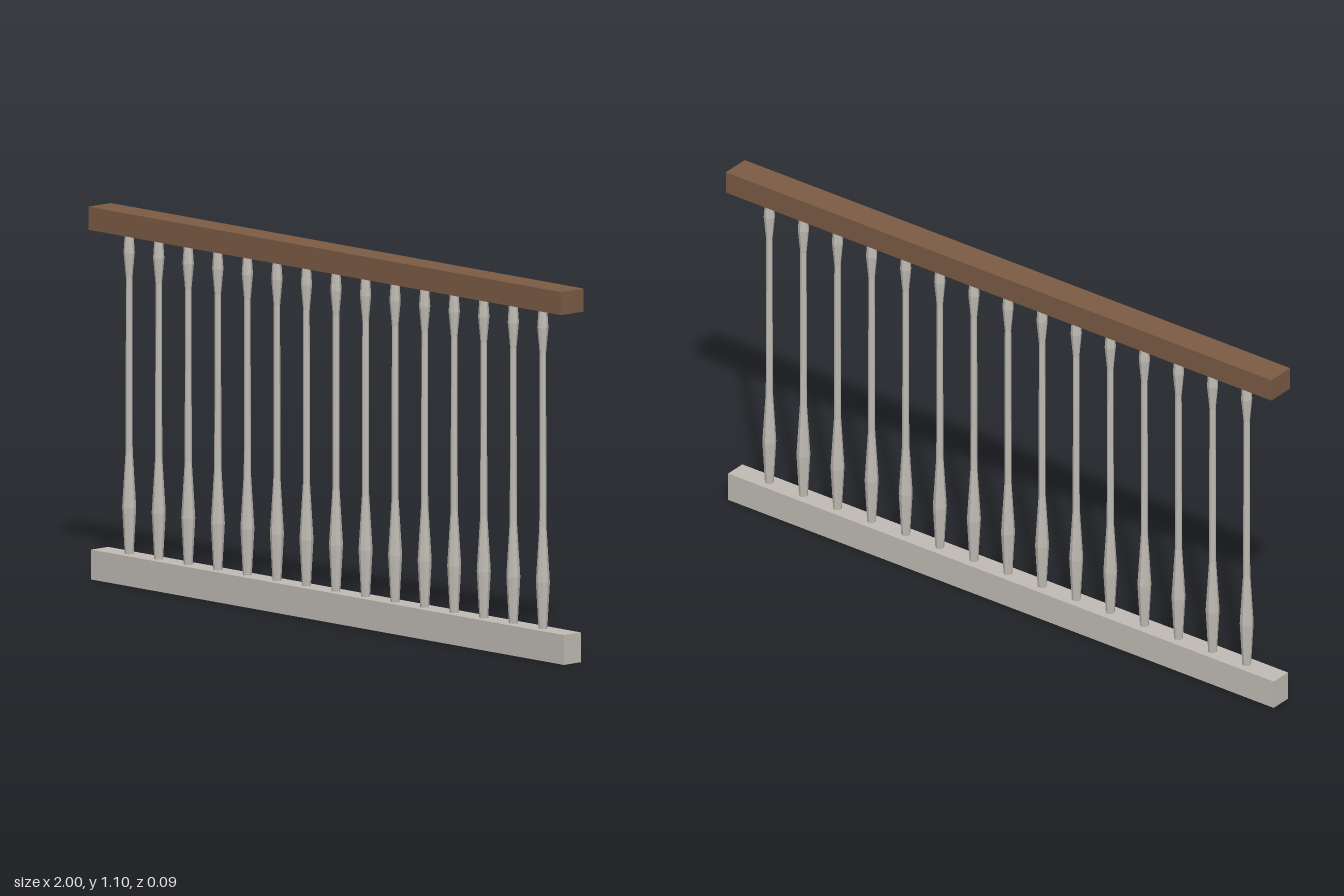
import * as THREE from 'three';

export function createModel() {
  const group = new THREE.Group();
  group.name = 'balustrade';

  const wood = new THREE.MeshStandardMaterial({ color: 0x7b5b44 });
  wood.name = 'brown wood';
  const stone = new THREE.MeshStandardMaterial({ color: 0xc0bbb4 });
  stone.name = 'pale stone';

  function addRail(name, bottom, top, depth, material) {
    const rail = new THREE.Mesh(new THREE.BoxGeometry(2, top - bottom, depth), material);
    rail.position.y = (bottom + top) / 2;
    rail.name = name;
    group.add(rail);
  }
  addRail('handrail', 1.032, 1.1, 0.09, wood);
  addRail('baseRail', 0, 0.088, 0.068, stone);

  // Turned baluster: swelling foot, slim shaft, small swelling at the head
  const profile = [
    [0.013, 0.088], [0.0205, 0.225], [0.0105, 0.39],
    [0.0095, 0.9], [0.0165, 0.975], [0.0125, 1.032],
  ].map(([r, y]) => new THREE.Vector2(r, y));
  // Eight flat sides, faceted
  const turned = new THREE.LatheGeometry(profile, 8).toNonIndexed();
  turned.computeVertexNormals();

  const count = 15;
  const spacing = 0.125;
  for (let i = 0; i < count; i++) {
    const baluster = new THREE.Mesh(turned, stone);
    baluster.position.x = (i - (count - 1) / 2) * spacing;
    baluster.name = `baluster${i + 1}`;
    group.add(baluster);
  }

  return group;
}
